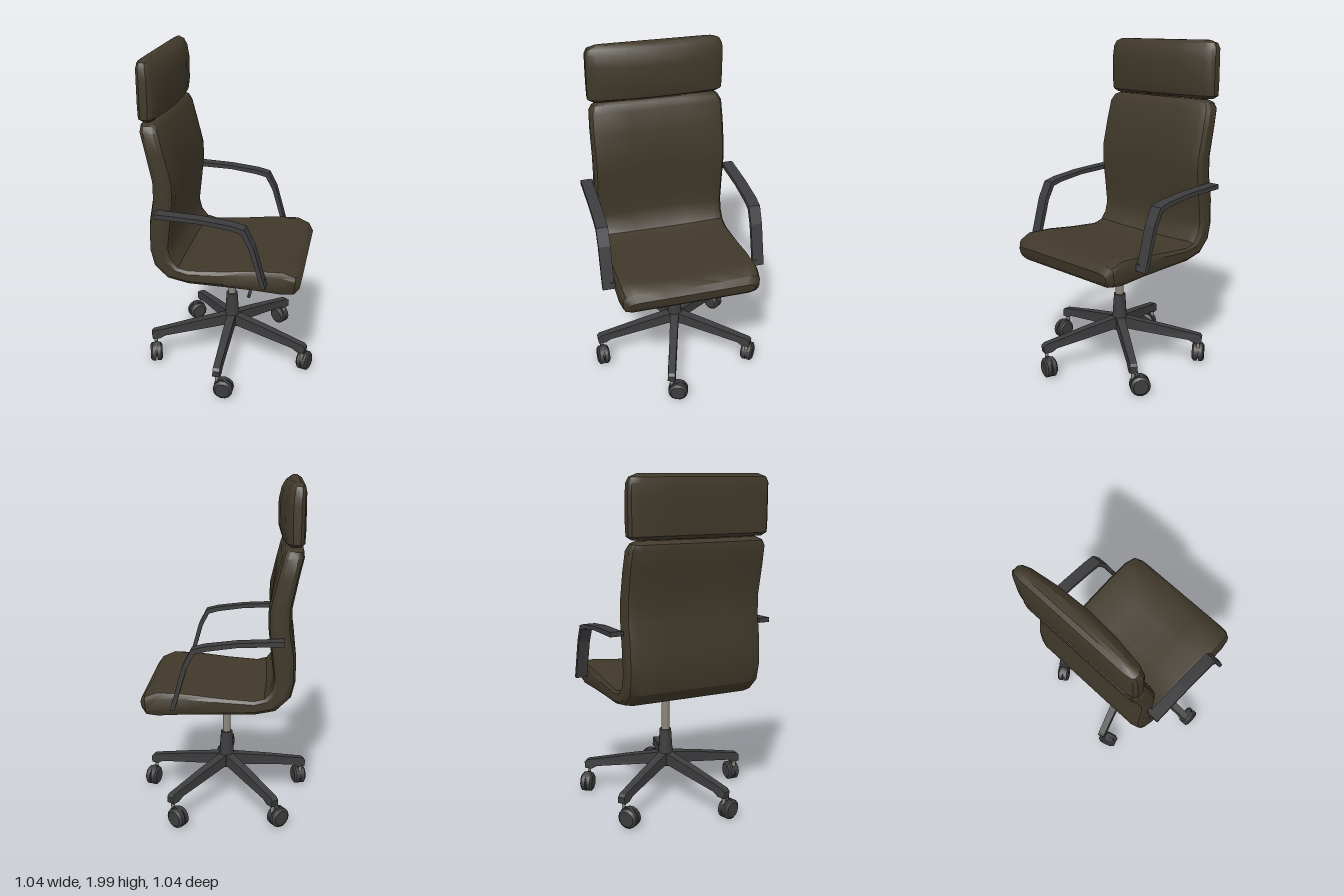
import * as THREE from 'three';
import { toCreasedNormals } from 'three/addons/utils/BufferGeometryUtils.js';

const leather = new THREE.MeshStandardMaterial({ color: 0x40382a });
const plastic = new THREE.MeshStandardMaterial({ color: 0x3c3c3e });
const metal = new THREE.MeshStandardMaterial({ color: 0x8c877c });

function add(parent, name, geometry, material, x = 0, y = 0, z = 0) {
  const mesh = new THREE.Mesh(geometry, material);
  mesh.name = name;
  mesh.position.set(x, y, z);
  parent.add(mesh);
  return mesh;
}

// Half of a padded cross-section: [across the width, through the thickness]
const half = [[1, 0.72], [0.965, 0.9], [0.86, 1], [0.45, 1], [0, 1], [-0.45, 1], [-0.86, 1], [-0.965, 0.9], [-1, 0.72]];
const ring = [...half, ...half.map(([w, t]) => [-w, 1 - t])];

// Cushion lofted through stations [outer x, outer y, inner x, inner y, half width, dip in the middle]
function cushion(stations) {
  const n = ring.length;
  const rows = stations.map(([ox, oy, ix, iy, hw, dip]) => {
    const outer = new THREE.Vector3(ox, oy, 0);
    const across = new THREE.Vector3(ix - ox, iy - oy, 0);
    const dir = across.clone().normalize();
    return ring.map(([w, t]) => {
      const p = outer.clone().addScaledVector(across, t);
      p.addScaledVector(dir, -dip * (1 - w * w) * (t > 0.5 ? 1 : 0));
      p.z = w * hw;
      return p;
    });
  });
  const pts = [];
  for (let s = 0; s < rows.length - 1; s++) {
    for (let r = 0; r < n; r++) {
      const q = (r + 1) % n;
      const a = rows[s][r], b = rows[s][q], c = rows[s + 1][q], d = rows[s + 1][r];
      pts.push(a, b, d, b, c, d);
    }
  }
  // End caps
  const first = rows[0], last = rows[rows.length - 1];
  const middle = (row) => row.reduce((m, p) => m.add(p), new THREE.Vector3()).divideScalar(n);
  const m0 = middle(first), m1 = middle(last);
  for (let r = 0; r < n; r++) {
    const q = (r + 1) % n;
    pts.push(m0, first[q], first[r], m1, last[r], last[q]);
  }
  return toCreasedNormals(new THREE.BufferGeometry().setFromPoints(pts), 0.55);
}

function extrude(points, depth) {
  const shape = new THREE.Shape(points.map(([x, y]) => new THREE.Vector2(x, y)));
  return new THREE.ExtrudeGeometry(shape, { depth, bevelEnabled: false }).translate(0, 0, -depth / 2);
}

function lathe(points, sides) {
  const g = new THREE.LatheGeometry(points.map(([x, y]) => new THREE.Vector2(x, y)), sides);
  return toCreasedNormals(g, 0.6);
}

function makeCaster() {
  const caster = new THREE.Group();
  caster.name = 'caster';
  const wheel = lathe([[0, -0.017], [0.045, -0.017], [0.06, -0.006], [0.06, 0.017], [0, 0.017]], 14);
  for (const side of [-1, 1]) {
    const w = add(caster, 'wheel', wheel, plastic, side * 0.021, 0.062, -0.04);
    w.rotation.z = side * Math.PI / 2;
  }
  // Fork hood between the wheels, and the pin into the leg
  const hood = add(caster, 'hood', new THREE.CylinderGeometry(0.05, 0.05, 0.024, 12), plastic, 0, 0.075, -0.032);
  hood.rotation.z = Math.PI / 2;
  add(caster, 'pin', new THREE.CylinderGeometry(0.011, 0.011, 0.08, 8), metal, 0, 0.135, 0);
  return caster;
}

function makeBase() {
  const base = new THREE.Group();
  base.name = 'base';
  add(base, 'hub', lathe([[0, 0.2], [0.032, 0.2], [0.05, 0.25], [0.046, 0.29], [0.036, 0.44], [0, 0.44]], 12), plastic);
  add(base, 'gasLift', new THREE.CylinderGeometry(0.025, 0.025, 0.26, 12), metal, 0, 0.55, 0);
  add(base, 'seatPlate', lathe([[0, 0.66], [0.045, 0.665], [0.055, 0.68], [0.055, 0.71], [0, 0.71]], 12), plastic);

  // Tapered leg
  const legShape = [[0, 0.21], [0.06, 0.215], [0.44, 0.165], [0.475, 0.145], [0.52, 0.145],
    [0.525, 0.185], [0.51, 0.2], [0.25, 0.252], [0.04, 0.29], [0, 0.29]];
  const legGeo = extrude(legShape, 0.066);
  const p = legGeo.attributes.position;
  for (let i = 0; i < p.count; i++) {
    const topTaper = p.getY(i) > 0.18 ? 0.85 : 1;
    p.setZ(i, p.getZ(i) * (1 - 0.5 * p.getX(i)) * topTaper);
  }
  legGeo.computeVertexNormals();

  for (let k = 0; k < 5; k++) {
    const arm = new THREE.Group();
    arm.name = 'baseLeg';
    arm.rotation.y = -(14 + 72 * k) * Math.PI / 180;
    add(arm, 'leg', legGeo, plastic);
    const caster = makeCaster();
    caster.position.x = 0.5;
    arm.add(caster);
    base.add(arm);
  }
  base.position.set(-0.013, 0, -0.02);
  return base;
}

export function createModel() {
  const chair = new THREE.Group();
  chair.name = 'officeChair';
  chair.add(makeBase());

  // Everything above the lift is swivelled slightly
  const top = new THREE.Group();
  top.name = 'swivelTop';
  top.position.set(0, 0, -0.006);
  top.rotation.y = 0.066;
  chair.add(top);

  // Seat and back in one padded shell, from the front edge up
  add(top, 'seatAndBack', cushion([
    [0.452, 0.705, 0.465, 0.765, 0.38, 0],
    [0.425, 0.678, 0.435, 0.81, 0.415, 0.015],
    [0.36, 0.67, 0.36, 0.845, 0.425, 0.03],
    [0.2, 0.682, 0.2, 0.838, 0.425, 0.035],
    [0, 0.69, 0, 0.812, 0.422, 0.03],
    [-0.19, 0.695, -0.19, 0.795, 0.42, 0.02],
    [-0.32, 0.722, -0.245, 0.81, 0.42, 0.02],
    [-0.4, 0.8, -0.278, 0.855, 0.42, 0.02],
    [-0.424, 0.9, -0.294, 0.92, 0.42, 0.02],
    [-0.422, 1.05, -0.277, 1.05, 0.42, 0.025],
    [-0.396, 1.2, -0.258, 1.22, 0.42, 0.025],
    [-0.396, 1.32, -0.262, 1.32, 0.42, 0.015],
    [-0.432, 1.5, -0.302, 1.48, 0.42, 0],
    [-0.455, 1.6, -0.332, 1.6, 0.415, 0],
    [-0.452, 1.632, -0.35, 1.638, 0.395, 0],
    [-0.425, 1.652, -0.37, 1.652, 0.36, 0],
  ]), leather);

  // Headrest, bulging at the front
  add(top, 'headrest', cushion([
    [-0.435, 1.656, -0.38, 1.656, 0.39, -0.01],
    [-0.455, 1.675, -0.365, 1.675, 0.42, -0.035],
    [-0.458, 1.74, -0.36, 1.74, 0.422, -0.05],
    [-0.458, 1.88, -0.36, 1.88, 0.422, -0.05],
    [-0.457, 1.95, -0.37, 1.95, 0.42, -0.045],
    [-0.45, 1.98, -0.38, 1.98, 0.405, -0.035],
    [-0.425, 1.998, -0.395, 1.998, 0.36, -0.02],
  ]), leather);

  // Flat bent armrests
  const armGeo = extrude([[-0.355, 1.165], [-0.1, 1.152], [0.08, 1.13], [0.155, 1.11], [0.205, 1.01], [0.275, 0.757],
    [0.25, 0.757], [0.18, 1.0], [0.135, 1.085], [0.07, 1.103], [-0.1, 1.127], [-0.355, 1.137]], 0.07);
  for (const side of [-1, 1]) {
    add(top, side > 0 ? 'rightArmrest' : 'leftArmrest', armGeo, plastic, 0, 0, side * 0.467);
  }
  // Fixings that join each armrest to the cushion
  for (const side of [-1, 1]) {
    add(top, 'armrestFixing', new THREE.BoxGeometry(0.025, 0.025, 0.06), plastic, -0.335, 1.15, side * 0.425);
    add(top, 'armrestFixing', new THREE.BoxGeometry(0.02, 0.03, 0.06), plastic, 0.258, 0.78, side * 0.425);
  }

  // Tension knob and height lever under the seat
  add(top, 'tensionKnob', new THREE.CylinderGeometry(0.046, 0.046, 0.1, 12), plastic, 0.145, 0.65, -0.005);
  const lever = new THREE.LineCurve3(new THREE.Vector3(0.145, 0.645, 0), new THREE.Vector3(0.15, 0.597, 0.29));
  add(top, 'lever', new THREE.TubeGeometry(lever, 1, 0.007, 8), plastic);
  const grip = add(top, 'leverGrip', new THREE.CylinderGeometry(0.01, 0.01, 0.05, 8), plastic, 0.15, 0.599, 0.28);
  grip.rotation.x = Math.PI / 2 + 0.16;

  return chair;
}
